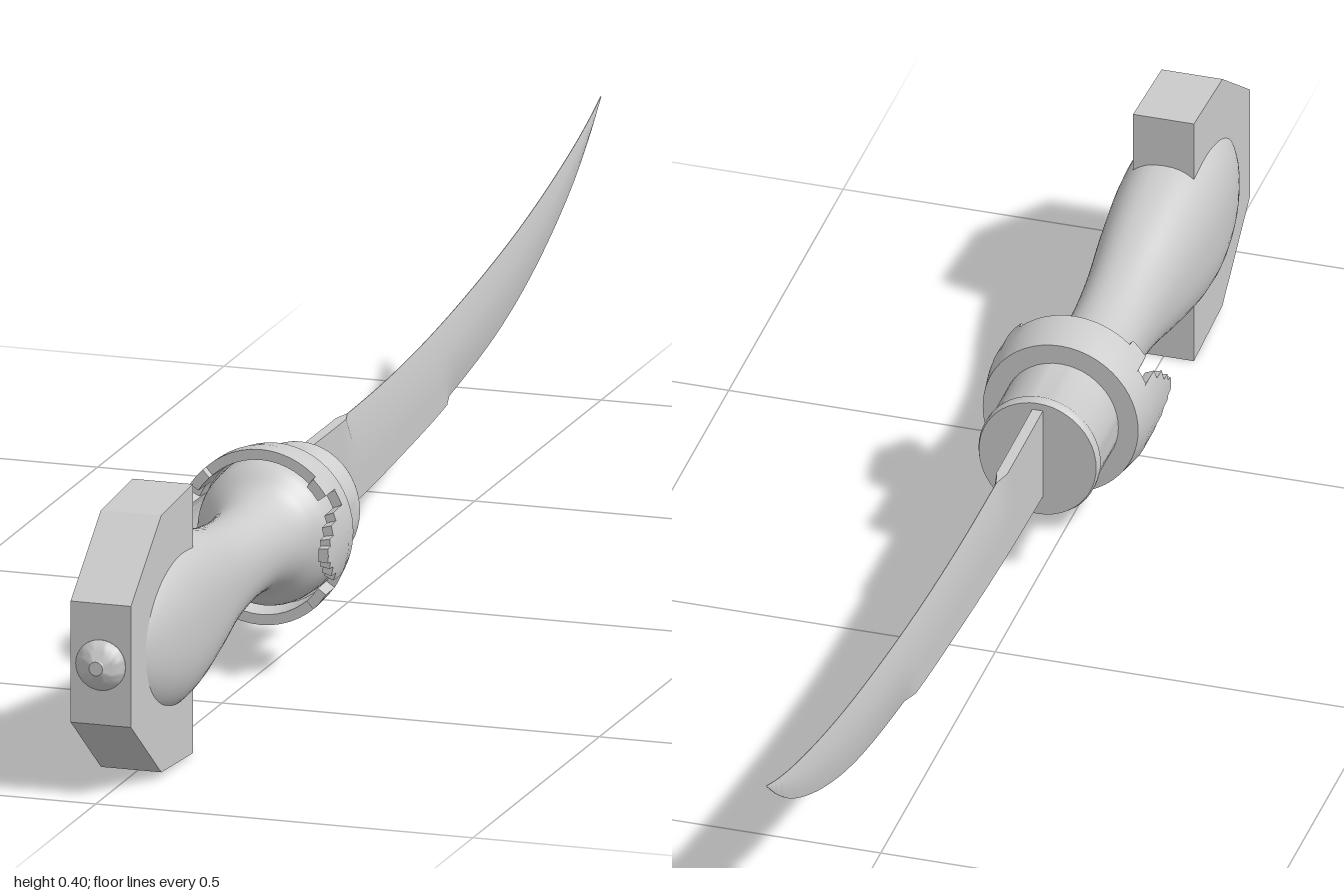
import * as THREE from 'three';
import { toCreasedNormals } from 'three/addons/utils/BufferGeometryUtils.js';

const MID = 0.178; // height of the handle axis
const material = new THREE.MeshStandardMaterial({ color: 0xcccccc, side: THREE.DoubleSide });

// Skin a series of closed cross-sections (arrays of [x, y, z])
function loft(rings, closed = false) {
  const n = rings[0].length, count = rings.length, index = [];
  for (let i = 0; i < (closed ? count : count - 1); i++) {
    for (let j = 0; j < n; j++) {
      const k = (j + 1) % n, r = ((i + 1) % count) * n;
      const a = i * n + j, b = i * n + k, c = r + k, d = r + j;
      index.push(a, b, c, a, c, d);
    }
  }
  const geometry = new THREE.BufferGeometry();
  geometry.setAttribute('position', new THREE.Float32BufferAttribute(rings.flat(2), 3));
  geometry.setIndex(index);
  geometry.computeVertexNormals();
  return geometry;
}

// Lathe a profile of [radius, z] around the handle axis
function turned(profile, sides) {
  const points = profile.map(([r, z]) => new THREE.Vector2(r, z));
  return toCreasedNormals(new THREE.LatheGeometry(points, sides).rotateX(Math.PI / 2), 0.6);
}

// Curved blade: flat spine and flat lower edge near the hilt, then ground sharp
function bladeGeometry() {
  const stations = [
    [-1, 0.399, 0.398], [-0.95, 0.38, 0.356], [-0.88, 0.358, 0.309], [-0.75, 0.326, 0.248],
    [-0.6, 0.298, 0.201], [-0.37, 0.268, 0.162], [-0.17, 0.253, 0.142], [0.03, 0.249, 0.128],
    [0.22, 0.25, 0.122],
  ];
  const curve = new THREE.CatmullRomCurve3(stations.map((s) => new THREE.Vector3(...s)));
  return toCreasedNormals(loft(curve.getPoints(64).map((p) => {
    const z = p.x, top = p.y, bottom = p.z, h = top - bottom;
    const t = 0.007 * Math.min(1, Math.sqrt(Math.max(0, (z + 1) / 0.6)));
    const spine = z > 0.029 ? t : 0.0004, edge = z > -0.371 ? t : 0.0004;
    const half = [[edge, bottom], [t, bottom + 0.3 * h], [t, top - 0.3 * h], [spine, top]];
    return [
      ...half.map(([x, y]) => [x, y, z]),
      ...half.reverse().map(([x, y]) => [-x, y, z]),
    ];
  })), 0.35);
}

// Swelling grip with oval sections: z, half width, half height, squareness
function gripGeometry() {
  const sections = [
    [0.29, 0.092, 0.097, 2], [0.335, 0.088, 0.092, 2], [0.365, 0.067, 0.07, 2],
    [0.4, 0.055, 0.06, 2], [0.47, 0.05, 0.058, 2.1], [0.56, 0.053, 0.069, 2.2],
    [0.65, 0.062, 0.09, 2.3], [0.735, 0.068, 0.106, 2.4], [0.8, 0.068, 0.109, 2.4],
    [0.86, 0.061, 0.097, 2.3], [0.905, 0.048, 0.075, 2.2], [0.935, 0.03, 0.046, 2],
    [0.95, 0.0005, 0.0005, 2],
  ];
  const size = new THREE.CatmullRomCurve3(sections.map(([z, w, h]) => new THREE.Vector3(w, h, z)));
  const steps = 60, power = (t) => {
    const f = t * (sections.length - 1), i = Math.min(Math.floor(f), sections.length - 2);
    return THREE.MathUtils.lerp(sections[i][3], sections[i + 1][3], f - i);
  };
  return loft(size.getPoints(steps).map((p, i) => {
    const e = 2 / power(i / steps);
    return Array.from({ length: 48 }, (_, j) => {
      const a = (j / 48) * Math.PI * 2, c = Math.cos(a), s = Math.sin(a);
      return [
        Math.sign(c) * Math.abs(c) ** e * Math.max(p.x, 0),
        MID + Math.sign(s) * Math.abs(s) ** e * Math.max(p.y, 0), p.z,
      ];
    });
  }));
}

// Collar whose front rim is cut into a stepped prong on each side, with notches beside it
function collarGeometry() {
  const steps = [[5, 0.405], [10, 0.395], [17, 0.38], [23, 0.36], [34, 0.325], [48, 0.358], [90, 0.347]];
  const quarter = [0];
  steps.forEach(([end], i) => {
    const start = i ? steps[i - 1][0] : 0, parts = Math.ceil((end - start) / 7);
    if (i) quarter.push(start + 0.3);
    for (let k = 1; k < parts; k++) quarter.push(start + ((end - start) * k) / parts);
    quarter.push(end === 90 ? 90 : end - 0.3);
  });
  const angles = [
    ...quarter, ...quarter.slice(0, -1).reverse().map((a) => 180 - a),
    ...quarter.slice(1).map((a) => 180 + a), ...quarter.slice(1, -1).reverse().map((a) => 360 - a),
  ];
  return toCreasedNormals(loft(angles.map((deg) => {
    const a = THREE.MathUtils.degToRad(deg), c = Math.cos(a), s = Math.sin(a);
    const fold = THREE.MathUtils.radToDeg(Math.atan2(Math.abs(s), Math.abs(c)));
    const front = steps.find(([end]) => fold <= end + 0.01)[1];
    const section = [[0.109, front], [0.108, 0.32], [0.102, 0.285], [0.07, 0.285], [0.094, 0.3], [0.096, front]];
    return section.map(([r, z]) => [r * c, MID + r * s * 1.05, z]);
  }), true), 0.5);
}

// Faceted C-shaped pommel that wraps the end of the grip
function pommelGeometry() {
  const outline = [
    [0.735, 0.353], [0.86, 0.345], [0.98, 0.258], [0.98, 0.1], [0.86, 0.01], [0.735, 0.002],
    [0.735, 0.085], [0.84, 0.11], [0.89, 0.15], [0.89, 0.206], [0.84, 0.246], [0.735, 0.271],
  ];
  const shape = new THREE.Shape(outline.map(([z, y]) => new THREE.Vector2(z, y)));
  return new THREE.ExtrudeGeometry(shape, { depth: 0.08, bevelEnabled: false })
    .translate(0, 0, -0.04).rotateY(-Math.PI / 2);
}

export function createModel() {
  const model = new THREE.Group();
  model.name = 'curvedDagger';
  const add = (name, geometry) => {
    const mesh = new THREE.Mesh(geometry, material);
    mesh.name = name;
    model.add(mesh);
    return mesh;
  };

  add('blade', bladeGeometry());
  add('grip', gripGeometry());
  add('collar', collarGeometry());
  add('pommel', pommelGeometry());

  // Sleeve between blade and collar, slightly taller than wide
  const ferrule = add('ferrule', turned(
    [[0, 0.185], [0.077, 0.185], [0.079, 0.19], [0.079, 0.198], [0.076, 0.204], [0.076, 0.3]], 48));
  ferrule.position.y = MID;
  ferrule.scale.y = 1.06;

  // Domed rivet on the end of the pommel
  const rivet = add('pommelButton', turned(
    [[0.033, 0.975], [0.033, 0.981], [0.028, 0.988], [0.02, 0.994], [0.011, 0.998], [0.009, 1], [0, 1]], 32));
  rivet.position.y = MID;
  return model;
}
